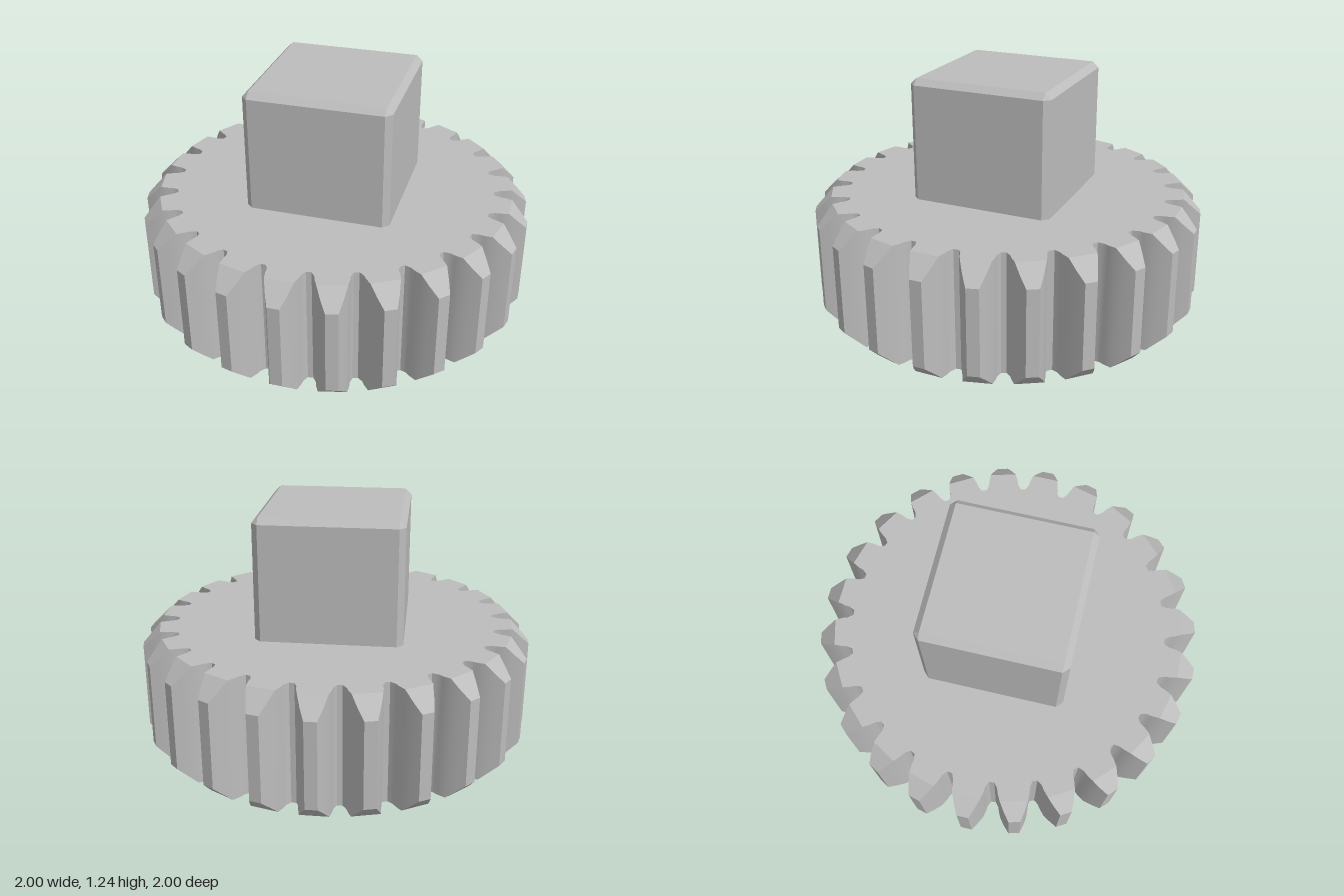
import * as THREE from 'three';
import { toCreasedNormals } from 'three/addons/utils/BufferGeometryUtils.js';

const TEETH = 24;
const HEIGHT = 0.62;
const CHAMFER_START = 0.91;
// Half tooth: [distance from axis, half width], tip to root
const TOOTH = [[1, 0.03], [0.955, 0.052], [CHAMFER_START, 0.07], [0.87, 0.079], [0.845, 0.081], [0.829, 0.088]];

const vec = (x, y, z) => new THREE.Vector3(x, y, z);

// Triangles from a list of quads, each counter-clockwise from outside
function quads(list, crease = 0.5) {
  const points = list.flatMap(([a, b, c, d]) => [a, b, c, a, c, d]);
  const geometry = new THREE.BufferGeometry().setFromPoints(points);
  return toCreasedNormals(geometry, crease);
}

// Wall joining two closed loops of equal length
function band(lower, upper) {
  return lower.map((p, i) => {
    const j = (i + 1) % lower.length;
    return [p, lower[j], upper[j], upper[i]];
  });
}

// Point on tooth k, row i, side -1 or +1, with the chamfered height
function toothPoint(k, i, side, top) {
  const a = (k / TEETH) * Math.PI * 2;
  const [r, w] = TOOTH[i];
  const drop = Math.max(0, r - CHAMFER_START);
  return vec(r * Math.cos(a) - side * w * Math.sin(a), top ? HEIGHT - drop : drop,
    -(r * Math.sin(a) + side * w * Math.cos(a)));
}

// Whole gear outline, starting at tooth row "first"
function outline(first, top) {
  const loop = [];
  for (let k = 0; k < TEETH; k++) {
    for (let i = TOOTH.length - 1; i >= first; i--) loop.push(toothPoint(k, i, -1, top));
    for (let i = first; i < TOOTH.length; i++) loop.push(toothPoint(k, i, 1, top));
    for (const f of [0.44, 0.56]) {
      const a = ((k + f) / TEETH) * Math.PI * 2;
      loop.push(vec(0.821 * Math.cos(a), top ? HEIGHT : 0, -0.821 * Math.sin(a)));
    }
  }
  return loop;
}

// Pill outline of the slot, in x and z
function slotOutline() {
  const r = 0.043, points = [];
  for (const [z, start] of [[0.79, 0], [0.555, Math.PI]]) {
    for (let i = 0; i <= 10; i++) {
      const a = start + (i / 10) * Math.PI;
      points.push(new THREE.Vector2(r * Math.cos(a), z + r * Math.sin(a)));
    }
  }
  return points;
}

export function createModel() {
  const group = new THREE.Group();
  const grey = new THREE.MeshStandardMaterial({ color: 0xbcbcbc });
  grey.name = 'grey';
  const add = (name, geometry) => {
    const mesh = new THREE.Mesh(geometry, grey);
    mesh.name = name;
    group.add(mesh);
    return mesh;
  };

  // Toothed rim
  add('gearTeeth', quads(band(outline(0, false), outline(0, true))));

  // Sloping tooth ends, top and bottom
  const slopes = [];
  for (let k = 0; k < TEETH; k++) {
    for (const top of [true, false]) {
      for (let i = 0; i < 2; i++) {
        const quad = [[i, -1], [i, 1], [i + 1, 1], [i + 1, -1]].map(([n, s]) => toothPoint(k, n, s, top));
        slopes.push(top ? quad : quad.reverse());
      }
    }
  }
  add('toothChamfers', quads(slopes));

  // Flat gear faces
  const face = () => new THREE.Shape(outline(2, true).map((p) => new THREE.Vector2(p.x, -p.z)));
  add('gearTop', new THREE.ShapeGeometry(face()).rotateX(-Math.PI / 2).translate(0, HEIGHT, 0));
  const bottom = face();
  bottom.holes.push(new THREE.Path().absarc(0, 0, 0.467, 0, Math.PI * 2, true));
  bottom.holes.push(new THREE.Path(slotOutline().reverse()));
  add('gearBottom', new THREE.ShapeGeometry(bottom, 48).rotateX(Math.PI / 2));

  // Domed bore with a chamfered rim
  const bore = [];
  for (let i = 0; i <= 12; i++) {
    const a = (i / 12) * Math.PI / 2;
    bore.push(new THREE.Vector2(0.436 * Math.sin(a), 0.33 + 0.436 * Math.cos(a)));
  }
  bore.push(new THREE.Vector2(0.436, 0.03), new THREE.Vector2(0.467, 0));
  add('bore', toCreasedNormals(new THREE.LatheGeometry(bore, 96), 0.5));

  // Shallow slot in the underside
  const slot = slotOutline();
  const slotLoop = (y) => slot.map((p) => vec(p.x, y, p.y));
  add('slotWall', quads(band(slotLoop(0), slotLoop(0.06))));
  add('slotFloor', new THREE.ShapeGeometry(new THREE.Shape(slot)).rotateX(Math.PI / 2).translate(0, 0.06, 0));

  // Square stem with chamfered edges
  const outer = 0.366, inner = 0.335;
  const stemLoop = (y, h) => {
    const loop = [];
    for (let k = 0; k < 4; k++) {
      const a = (k * Math.PI) / 2;
      for (const s of [-inner, inner]) {
        loop.push(vec(h * Math.cos(a) - s * Math.sin(a), y, -(h * Math.sin(a) + s * Math.cos(a))));
      }
    }
    return loop;
  };
  const low = stemLoop(HEIGHT, outer), shoulder = stemLoop(1.21, outer), crown = stemLoop(1.24, inner);
  add('stem', quads([...band(low, shoulder), ...band(shoulder, crown),
    [crown[0], crown[2], crown[4], crown[6]]], 0.2));

  return group;
}
